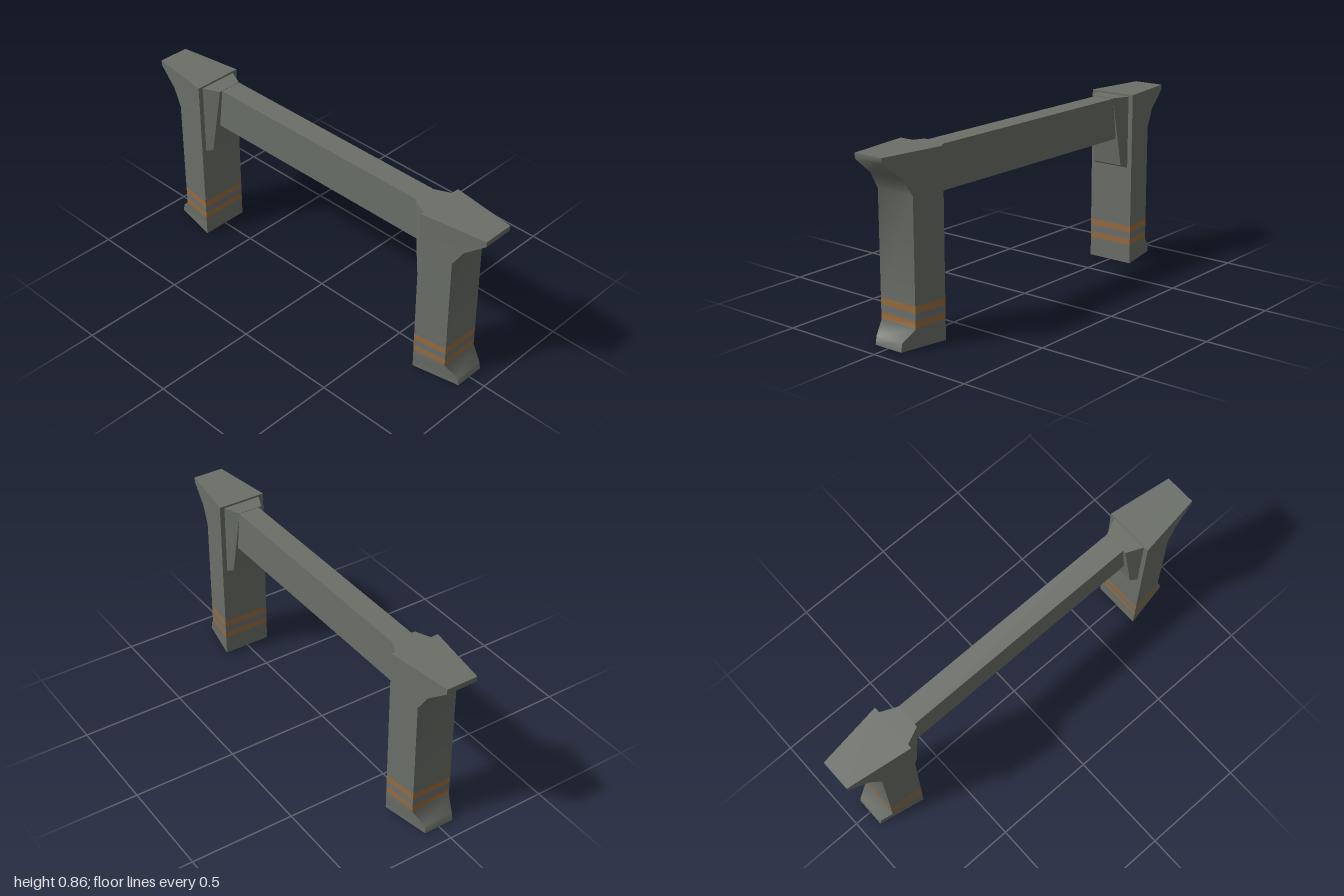
import * as THREE from 'three';
import { toCreasedNormals } from 'three/addons/utils/BufferGeometryUtils.js';

// Lofts four-cornered rings upward; each level is [y, innerX, innerZ, outerX, outerZ, materialIndex].
function loft(levels) {
  const pos = [];
  const geo = new THREE.BufferGeometry();
  const rings = levels.map(([y, xi, zi, xo, zo]) => [[xi, y, zi], [xo, y, zo], [xo, y, -zo], [xi, y, -zi]]);
  const quad = (a, b, c, d) => pos.push(...a, ...b, ...c, ...a, ...c, ...d);
  for (let k = 0; k < rings.length - 1; k++) {
    const lo = rings[k], hi = rings[k + 1];
    for (let i = 0; i < 4; i++) {
      const j = (i + 1) % 4;
      quad(lo[i], lo[j], hi[j], hi[i]);
    }
    geo.addGroup(k * 24, 24, levels[k][5] || 0);
  }
  // top cap; the underside stays open
  quad(...rings[rings.length - 1]);
  geo.addGroup((rings.length - 1) * 24, 6, 0);
  geo.setAttribute('position', new THREE.Float32BufferAttribute(pos, 3));
  return toCreasedNormals(geo, 1.0);
}

export function createModel() {
  const stone = new THREE.MeshStandardMaterial({ color: 0x6b6f68, side: THREE.DoubleSide });
  stone.name = 'grey stone';
  const orange = new THREE.MeshStandardMaterial({ color: 0x966c40, side: THREE.DoubleSide });
  orange.name = 'worn orange';
  const blue = new THREE.MeshStandardMaterial({ color: 0x697070, side: THREE.DoubleSide });
  blue.name = 'blue grey';
  const materials = [stone, orange, blue];

  const model = new THREE.Group();
  model.name = 'gateway';

  // hollow pillar with flared foot, painted bands and flared head
  const pillarGeo = loft([
    [0, 0.685, 0.12, 0.915, 0.075],
    [0.04, 0.685, 0.12, 0.907, 0.075],
    [0.09, 0.685, 0.12, 0.85, 0.1],
    [0.095, 0.685, 0.12, 0.85, 0.1, 1],
    [0.127, 0.685, 0.12, 0.85, 0.1, 2],
    [0.158, 0.685, 0.12, 0.85, 0.1, 1],
    [0.192, 0.685, 0.12, 0.85, 0.1],
    [0.67, 0.685, 0.12, 0.85, 0.1],
    [0.75, 0.685, 0.12, 0.9, 0.09],
    [0.83, 0.685, 0.12, 1.0, 0.076],
    [0.855, 0.685, 0.12, 1.0, 0.076],
  ]);

  // tapered bracket holding the beam
  const bracketGeo = loft([
    [0.49, 0.684, 0.095, 0.69, 0.098],
    [0.505, 0.65, 0.08, 0.69, 0.098],
    [0.845, 0.605, 0.06, 0.69, 0.098],
  ]);

  for (const side of ['left', 'right']) {
    const post = new THREE.Group();
    post.name = side + 'Post';
    const pillar = new THREE.Mesh(pillarGeo, materials);
    pillar.name = side + 'Pillar';
    const bracket = new THREE.Mesh(bracketGeo, materials);
    bracket.name = side + 'Bracket';
    post.add(pillar, bracket);
    if (side === 'right') post.rotation.y = Math.PI;
    model.add(post);
  }

  // cross beam
  const beam = new THREE.Mesh(new THREE.BoxGeometry(1.28, 0.203, 0.106), stone);
  beam.name = 'crossBeam';
  beam.position.set(0, 0.7415, -0.008);
  model.add(beam);

  return model;
}
